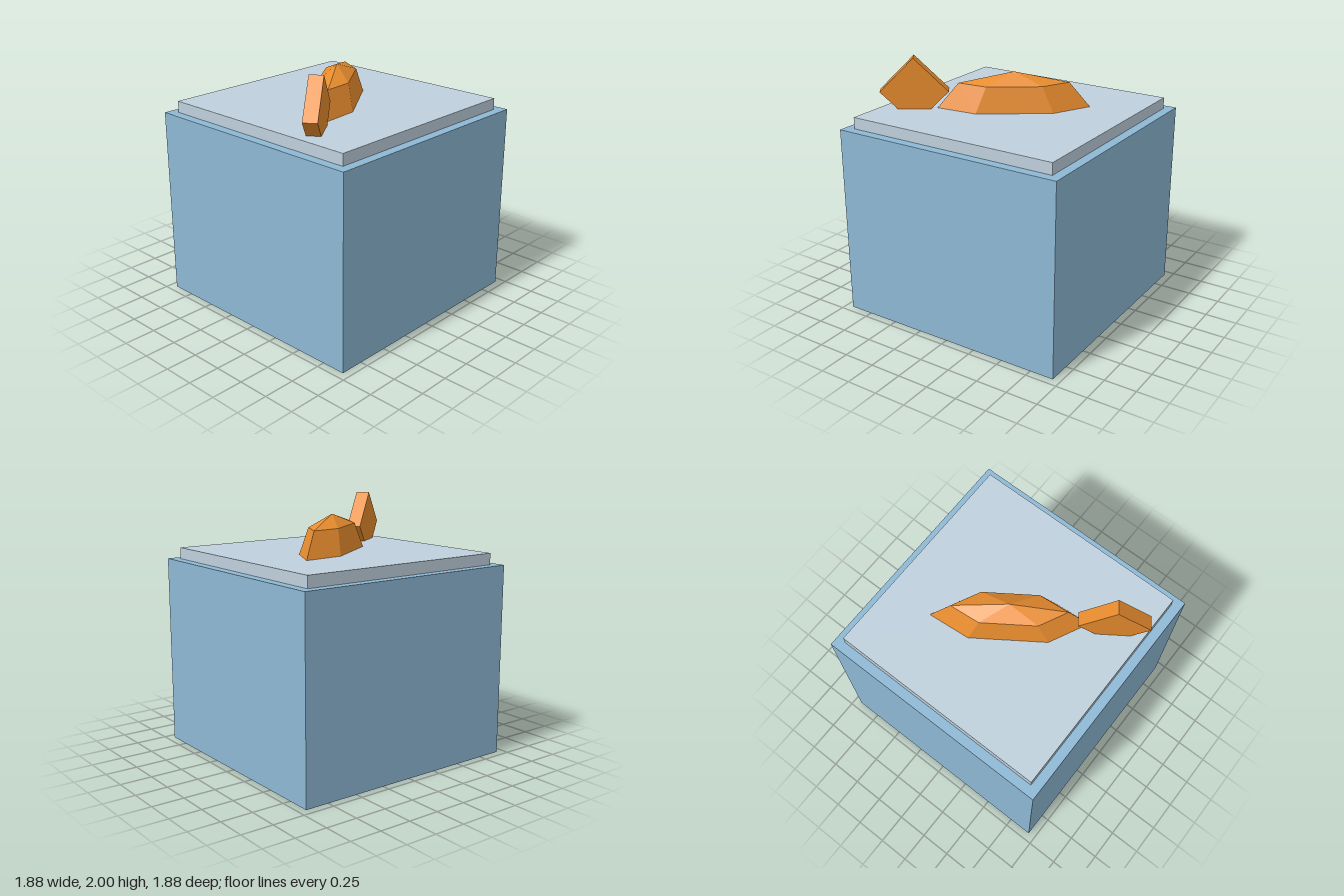
import * as THREE from 'three';

export function createModel() {
  const model = new THREE.Group();
  const heading = 0.6; // fish swims diagonally across the block

  const add = (name, geometry, color, x, y, z) => {
    const material = new THREE.MeshStandardMaterial({ color, flatShading: true });
    const mesh = new THREE.Mesh(geometry, material);
    mesh.name = name;
    mesh.position.set(x, y, z);
    model.add(mesh);
    return mesh;
  };

  // Tank and the thin slab on top of it
  add('tank', new THREE.BoxGeometry(1.88, 1.51, 1.88), 0x8db8d4, 0, 0.755, 0);
  add('topSlab', new THREE.BoxGeometry(1.73, 0.09, 1.73), 0xbed0dc, 0, 1.555, 0);

  // Low-poly fish body, half sunk into the slab
  const body = add('fishBody', new THREE.SphereGeometry(1, 6, 4), 0xe88c2e, 0, 1.585, 0);
  body.scale.set(0.6, 0.3, 0.195);
  body.rotation.y = heading;

  // Tail: a thin square plate standing on its corner
  const side = 0.373;
  const plate = new THREE.BoxGeometry(side, side, 0.108).rotateZ(Math.PI / 4);
  const tail = add('fishTail', plate, 0xe88c2e, -0.642, 1.736, 0.41);
  tail.rotation.y = heading;

  return model;
}
